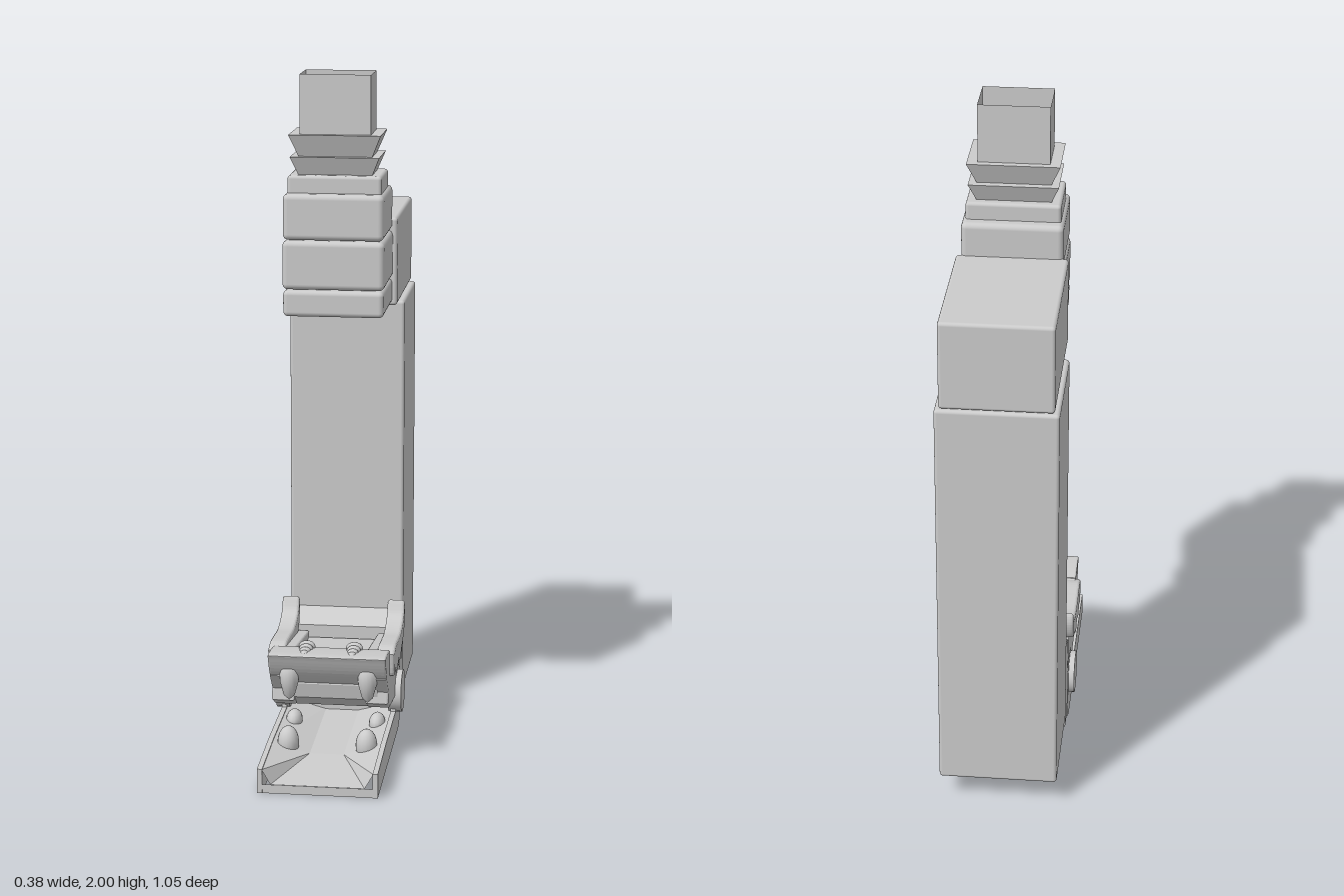
import * as THREE from 'three';
import { RoundedBoxGeometry } from 'three/addons/geometries/RoundedBoxGeometry.js';

const mat = new THREE.MeshStandardMaterial({ color: 0xcccccc });
const flat = new THREE.MeshStandardMaterial({ color: 0xcccccc, flatShading: true });
const thin = new THREE.MeshStandardMaterial({ color: 0xcccccc, flatShading: true, side: THREE.DoubleSide });

export function createModel() {
  const model = new THREE.Group();

  function add(parent, name, geometry, material = mat) {
    const mesh = new THREE.Mesh(geometry, material);
    mesh.name = name;
    parent.add(mesh);
    return mesh;
  }

  // Rounded box given by its half width and its y and z ranges
  function block(name, halfX, y0, y1, z0, z1, r = 0.01) {
    const m = add(model, name, new RoundedBoxGeometry(halfX * 2, y1 - y0, z1 - z0, 3, r));
    m.position.set(0, (y0 + y1) / 2, (z0 + z1) / 2);
  }

  // Side profile of [z, y] points, extruded across x from x0 to x1
  function profile(parent, name, pts, x0, x1, { smooth = false, bevel = 0 } = {}) {
    let v = pts.map(p => new THREE.Vector2(p[0], p[1]));
    if (smooth) v = new THREE.SplineCurve([...v, v[0]]).getPoints(pts.length * 5).slice(0, -1);
    const g = new THREE.ExtrudeGeometry(new THREE.Shape(v), {
      depth: x1 - x0 - 2 * bevel, bevelEnabled: bevel > 0,
      bevelSize: bevel, bevelThickness: bevel, bevelOffset: -bevel, bevelSegments: 3,
    });
    g.rotateY(-Math.PI / 2).translate(x1 - bevel, 0, 0);
    return add(parent, name, g);
  }

  // Four-sided tapered section with half sizes at bottom and top
  function funnel(name, y0, y1, bottom, top, open = false) {
    const g = new THREE.CylinderGeometry(1, 1, y1 - y0, 4, 1, open);
    g.rotateY(Math.PI / 4);
    const p = g.attributes.position;
    for (let i = 0; i < p.count; i++) {
      const half = p.getY(i) > 0 ? top : bottom;
      p.setX(i, p.getX(i) * Math.SQRT2 * half[0]);
      p.setZ(i, p.getZ(i) * Math.SQRT2 * half[1]);
    }
    g.computeVertexNormals();
    add(model, name, g, open ? thin : flat).position.set(0, (y0 + y1) / 2, 0.038);
  }

  // Column and the arm on top of it
  block('column', 0.173, 0.078, 1.302, -0.525, -0.178);
  block('arm', 0.16, 1.306, 1.567, -0.525, -0.078);

  // Stacked head with bellows and open square tube
  block('headBottom', 0.145, 1.312, 1.388, -0.09, 0.165, 0.014);
  block('headMiddle', 0.147, 1.39, 1.531, -0.09, 0.165, 0.016);
  block('headTop', 0.145, 1.533, 1.665, -0.09, 0.165, 0.016);
  block('headCollar', 0.135, 1.655, 1.715, -0.056, 0.132, 0.01);
  funnel('lowerBellow', 1.712, 1.767, [0.105, 0.067], [0.128, 0.09]);
  funnel('upperBellow', 1.765, 1.83, [0.105, 0.067], [0.132, 0.092]);
  funnel('topTube', 1.828, 2, [0.102, 0.071], [0.102, 0.071], true);

  // Mounting plate between the column and the jaws
  profile(model, 'mountingPlate',
    [[-0.098, 0.035], [-0.098, 0.305], [-0.175, 0.342], [-0.18, 0.335], [-0.18, 0.035]],
    -0.172, 0.172, { bevel: 0.006 });

  // Lower jaw: side walls, tapering chute, sloping flanks
  const lower = new THREE.Group();
  lower.name = 'lowerJaw';
  model.add(lower);

  function quads(name, list) {
    const pos = [];
    for (const [a, b, c, d] of list) pos.push(...a, ...b, ...c, ...a, ...c, ...d);
    const g = new THREE.BufferGeometry();
    g.setAttribute('position', new THREE.Float32BufferAttribute(pos, 3));
    g.computeVertexNormals();
    add(lower, name, g, thin);
  }
  quads('chuteFloor', [
    [[-0.135, 0.026, 0.522], [0.135, 0.026, 0.522], [0.05, 0.045, 0.31], [-0.05, 0.045, 0.31]],
    [[-0.05, 0.045, 0.31], [0.05, 0.045, 0.31], [0.05, 0.05, -0.08], [-0.05, 0.05, -0.08]],
  ]);
  quads('frontLip', [[[-0.172, 0, 0.523], [0.172, 0, 0.523], [0.172, 0.026, 0.523], [-0.172, 0.026, 0.523]]]);
  const rear = add(lower, 'jawRear', new THREE.BoxGeometry(0.33, 0.07, 0.03));
  rear.position.set(0, 0.06, -0.075);

  const wall = [[0.525, 0], [0.525, 0.072], [0.3, 0.082], [0.03, 0.082], [0.012, 0.2],
    [-0.04, 0.21], [-0.095, 0.18], [-0.095, 0.035], [-0.083, 0.012], [-0.05, 0]];

  for (const s of [-1, 1]) {
    profile(lower, 'sideWall', wall, s > 0 ? 0.158 : -0.173, s > 0 ? 0.173 : -0.158);
    quads('sideFlank', [
      [[s * 0.16, 0.07, 0.522], [s * 0.135, 0.026, 0.522], [s * 0.05, 0.045, 0.31], [s * 0.16, 0.08, 0.31]],
      [[s * 0.16, 0.08, 0.31], [s * 0.05, 0.045, 0.31], [s * 0.05, 0.05, -0.08], [s * 0.16, 0.08, -0.08]],
    ]);
    // Lower teeth
    const front = add(lower, 'lowerTooth', new THREE.SphereGeometry(1, 16, 10));
    front.scale.set(0.032, 0.05, 0.035);
    front.position.set(s * 0.115, 0.072, 0.298);
    const back = add(lower, 'backTooth', new THREE.SphereGeometry(1, 14, 8));
    back.scale.set(0.025, 0.032, 0.04);
    back.position.set(s * 0.125, 0.07, 0.1);
  }

  // Upper jaw: curved muzzle, palate with a recess above it, cheeks
  const upper = new THREE.Group();
  upper.name = 'upperJaw';
  model.add(upper);

  profile(upper, 'muzzle',
    [[0.205, 0.335], [0.25, 0.342], [0.315, 0.345], [0.316, 0.33], [0.285, 0.275],
      [0.235, 0.235], [0.2, 0.25]],
    -0.172, 0.172, { smooth: true, bevel: 0.005 });
  profile(upper, 'palate',
    [[0.22, 0.3], [0.245, 0.235], [0.235, 0.19], [0.18, 0.15], [0.08, 0.138],
      [-0.06, 0.138], [-0.085, 0.27], [0.18, 0.285]],
    -0.14, 0.14);

  const cheek = [[0.22, 0.335], [0.285, 0.27], [0.235, 0.215], [0.24, 0.18], [0.19, 0.152],
    [0.1, 0.138], [0.03, 0.13], [-0.05, 0.14], [-0.09, 0.2], [-0.085, 0.29], [0.05, 0.31]];
  const fin = [[0.215, 0.325], [0.17, 0.338], [0.1, 0.335], [0.03, 0.33], [-0.03, 0.34],
    [-0.07, 0.36], [-0.095, 0.395], [-0.106, 0.36], [-0.09, 0.31], [-0.05, 0.282],
    [-0.01, 0.268], [0.03, 0.245], [0.07, 0.262], [0.12, 0.243], [0.16, 0.262], [0.2, 0.255]];

  for (const s of [-1, 1]) {
    const across = (a, b) => (s > 0 ? [a, b] : [-b, -a]);
    profile(upper, 'cheek', cheek, ...across(0.105, 0.172), { bevel: 0.006 });
    profile(upper, 'hornedBrow', fin, ...across(0.135, 0.187), { smooth: true, bevel: 0.008 });

    // Hinge disc
    const hinge = add(upper, 'hingeDisc', new THREE.CylinderGeometry(0.064, 0.064, 0.04, 32));
    hinge.rotation.z = Math.PI / 2;
    hinge.position.set(s * 0.17, 0.134, -0.018);

    // Fang hanging below the muzzle lip
    const fang = add(upper, 'fang', new THREE.LatheGeometry(
      [[0, -0.1], [0.016, -0.085], [0.027, -0.045], [0.03, 0], [0, 0.02]]
        .map(p => new THREE.Vector2(...p)), 16));
    fang.position.set(s * 0.115, 0.295, 0.275);

    // Ridged nostril, shrinking toward the snout
    for (let i = 0; i < 4; i++) {
      const bump = add(upper, 'nostrilRidge', new THREE.SphereGeometry(1, 14, 8));
      bump.scale.set(0.025 - i * 0.004, 0.018 - i * 0.003, 0.018);
      bump.position.set(s * 0.07, 0.34, 0.215 + i * 0.022);
    }
  }
  return model;
}
